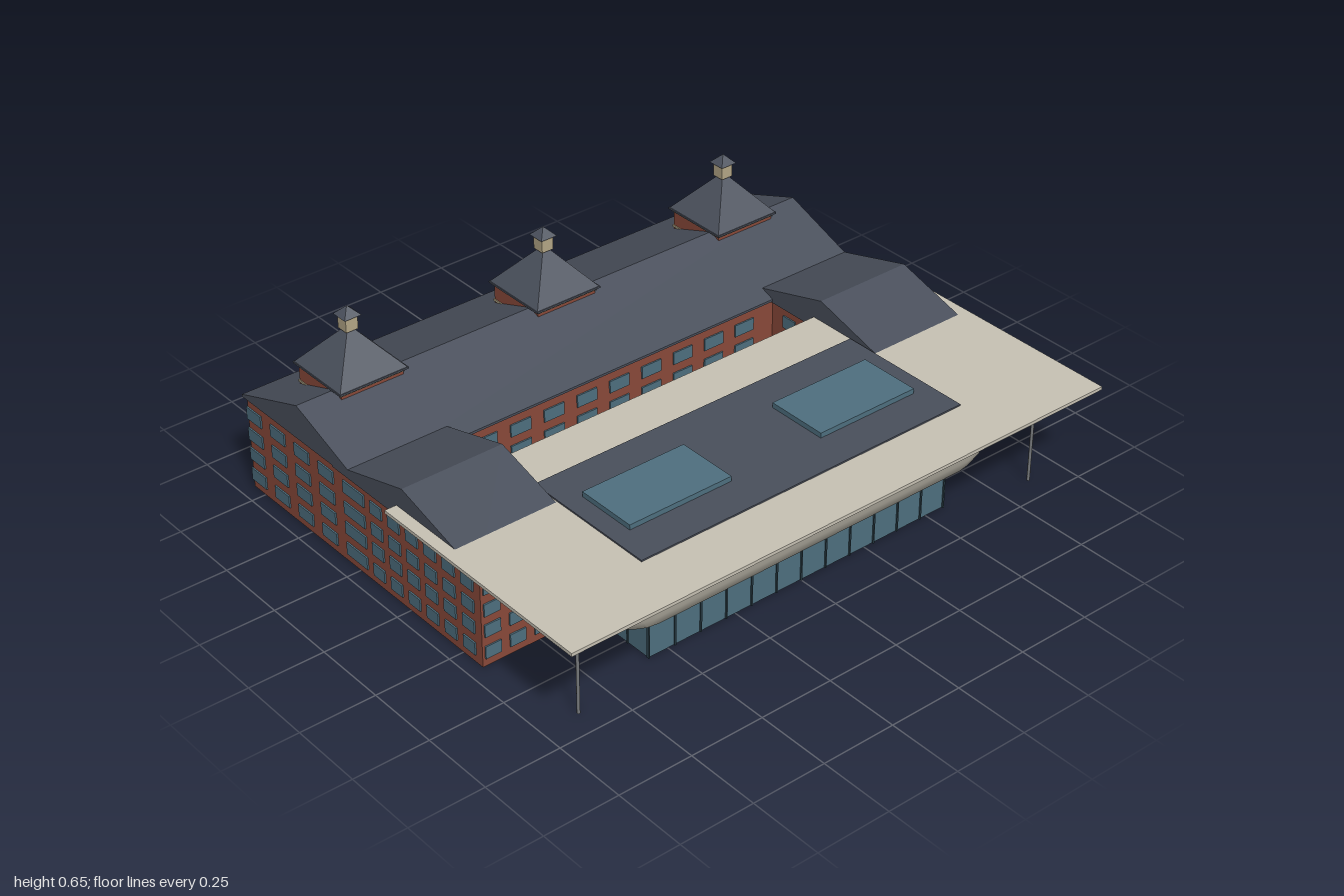
import * as THREE from 'three';
import { mergeGeometries, toCreasedNormals } from 'three/addons/utils/BufferGeometryUtils.js';

const mat = (color, opts = {}) => new THREE.MeshStandardMaterial({ color, ...opts });
const brick = mat(0x8b4a3a), slate = mat(0x4a505c), glass = mat(0x4f7080), frame = mat(0x2f444e);
const cream = mat(0xc8c3b5), tan = mat(0xb5a888), steel = mat(0x777a7c);

export function createModel() {
  const model = new THREE.Group();

  function add(name, geometry, material, parent = model) {
    const mesh = new THREE.Mesh(geometry, material);
    mesh.name = name;
    parent.add(mesh);
    return mesh;
  }
  // Box geometry given by its minimum and maximum on each axis
  function span(x0, x1, y0, y1, z0, z1) {
    return new THREE.BoxGeometry(x1 - x0, y1 - y0, z1 - z0)
      .translate((x0 + x1) / 2, (y0 + y1) / 2, (z0 + z1) / 2);
  }
  // Gable roof with its ridge along x
  function gable(name, x0, x1, zMid, half, eave, ridge) {
    const shape = new THREE.Shape([
      new THREE.Vector2(-half, eave - 0.008), new THREE.Vector2(half, eave - 0.008),
      new THREE.Vector2(half, eave), new THREE.Vector2(0, ridge), new THREE.Vector2(-half, eave),
    ]);
    const geo = new THREE.ExtrudeGeometry(shape, { depth: x1 - x0, bevelEnabled: false });
    add(name, geo.rotateY(Math.PI / 2).translate(x0, 0, zMid), slate);
  }
  // Grid of windows on a wall: axis is the direction the wall runs in
  function windows(name, axis, wall, centre, count, step, width) {
    const parts = [];
    for (const y of [0.048, 0.122, 0.193, 0.267]) {
      for (let i = 0; i < count; i++) {
        const p = centre + (i - (count - 1) / 2) * step;
        parts.push(axis === 'x'
          ? new THREE.BoxGeometry(width, 0.042, 0.01).translate(p, y, wall)
          : new THREE.BoxGeometry(0.01, 0.042, width).translate(wall, y, p));
      }
    }
    add(name, mergeGeometries(parts), glass);
  }
  // Square pyramid with sides parallel to x and z
  const pyramid = (half, height, y) => new THREE.ConeGeometry(half * Math.SQRT2, height, 4, 1)
    .rotateY(Math.PI / 4).translate(0, y + height / 2, 0).toNonIndexed();
  const flat = (geo) => { geo.computeVertexNormals(); return geo; };

  // Main wing along the back
  add('mainWing', span(-0.95, 0.95, 0, 0.325, -0.81, -0.23), brick);
  gable('mainRoof', -0.96, 0.96, -0.52, 0.3, 0.33, 0.44);
  windows('backWindows', 'x', -0.81, 0, 15, 0.125, 0.075);
  windows('courtyardWindows', 'x', -0.23, 0, 9, 0.125, 0.075);

  // Side wings reaching forward
  for (const s of [-1, 1]) {
    const [x0, x1] = s > 0 ? [0.62, 0.95] : [-0.95, -0.62];
    add('sideWing', span(x0, x1, 0, 0.32, -0.35, 0.34), brick);
    gable('sideRoof', x0 - 0.01, x1 + 0.01, 0, 0.35, 0.325, 0.425);
    windows('sideWingOuterWindows', 'z', s * 0.95, 0.024, 7, 0.0865, 0.055);
    windows('sideWingInnerWindows', 'z', s * 0.62, 0.067, 6, 0.0865, 0.055);
    windows('sideWingFrontWindows', 'x', 0.34, s * 0.785, 4, 0.086, 0.055);
    windows('mainWingEndWindows', 'z', s * 0.95, -0.524, 5, 0.125, 0.075);
  }

  // Three roof towers with lanterns
  for (const x of [-0.72, 0, 0.72]) {
    const tower = new THREE.Group();
    tower.name = 'roofTower';
    tower.position.set(x, 0, -0.59);
    model.add(tower);
    add('towerBase', span(-0.11, 0.11, 0.33, 0.445, -0.11, 0.11), brick, tower);
    add('towerBand', span(-0.113, 0.113, 0.381, 0.388, -0.113, 0.113), tan, tower);
    add('towerCornice', span(-0.114, 0.114, 0.437, 0.445, -0.114, 0.114), tan, tower);
    add('towerEave', span(-0.122, 0.122, 0.445, 0.451, -0.122, 0.122), slate, tower);
    add('towerRoof', flat(pyramid(0.12, 0.138, 0.45)), slate, tower);
    add('lantern', span(-0.021, 0.021, 0.575, 0.624, -0.021, 0.021), tan, tower);
    add('lanternCap', flat(pyramid(0.03, 0.03, 0.622)), slate, tower);
  }

  // Glass ground floor of the front hall, with mullions on all sides
  add('glassHall', span(-0.57, 0.57, 0, 0.13, 0.15, 0.6), glass);
  const bars = [];
  for (let i = 0; i <= 12; i++) {
    const x = -0.57 + i * 0.095;
    for (const z of [0.15, 0.6]) bars.push(new THREE.BoxGeometry(0.005, 0.125, 0.01).translate(x, 0.0625, z));
  }
  for (let i = 1; i < 5; i++) {
    for (const x of [-0.57, 0.57]) bars.push(new THREE.BoxGeometry(0.008, 0.125, 0.005).translate(x, 0.0625, 0.15 + i * 0.09));
  }
  add('mullions', mergeGeometries(bars), frame);

  // Bowl-shaped upper hall: rounded rectangles [y, half x, half z, corner radius]
  const rings = [
    [0.12, 0.61, 0.225, 0.08], [0.128, 0.65, 0.25, 0.1], [0.155, 0.7, 0.28, 0.125],
    [0.195, 0.738, 0.298, 0.14], [0.25, 0.752, 0.315, 0.15], [0.345, 0.775, 0.335, 0.16],
  ];
  const seg = 5, n = 4 * (seg + 1), pos = [], index = [];
  for (const [y, hx, hz, r] of rings) {
    for (let q = 0; q < 4; q++) {
      const cx = (q === 0 || q === 3 ? 1 : -1) * (hx - r), cz = (q < 2 ? 1 : -1) * (hz - r);
      for (let i = 0; i <= seg; i++) {
        const a = (q + i / seg) * Math.PI / 2;
        pos.push(cx + r * Math.cos(a), y, cz + r * Math.sin(a));
      }
    }
  }
  for (let k = 0; k < rings.length - 1; k++) {
    for (let i = 0; i < n; i++) {
      const a = k * n + i, b = k * n + (i + 1) % n;
      index.push(a, a + n, b, b, a + n, b + n);
    }
  }
  for (let i = 1; i < n - 1; i++) index.push(0, i, i + 1);
  const hull = new THREE.BufferGeometry();
  hull.setAttribute('position', new THREE.Float32BufferAttribute(pos, 3));
  hull.setIndex(index);
  add('bowlHall', toCreasedNormals(hull, 0.5), cream).position.z = 0.375;

  // Flat canopy, roof deck and skylights
  add('canopy', span(-1, 1, 0.344, 0.355, -0.03, 0.81), cream);
  add('roofDeck', span(-0.605, 0.605, 0.354, 0.36, 0.14, 0.615), slate);
  for (const x of [-0.355, 0.355]) {
    add('skylight', span(x - 0.185, x + 0.185, 0.358, 0.377, 0.275, 0.485), glass);
  }

  // Slender canopy posts
  for (const x of [-0.87, 0.87]) {
    add('canopyPost', new THREE.CylinderGeometry(0.005, 0.005, 0.345, 8).translate(x, 0.1725, 0.665), steel);
  }
  return model;
}
